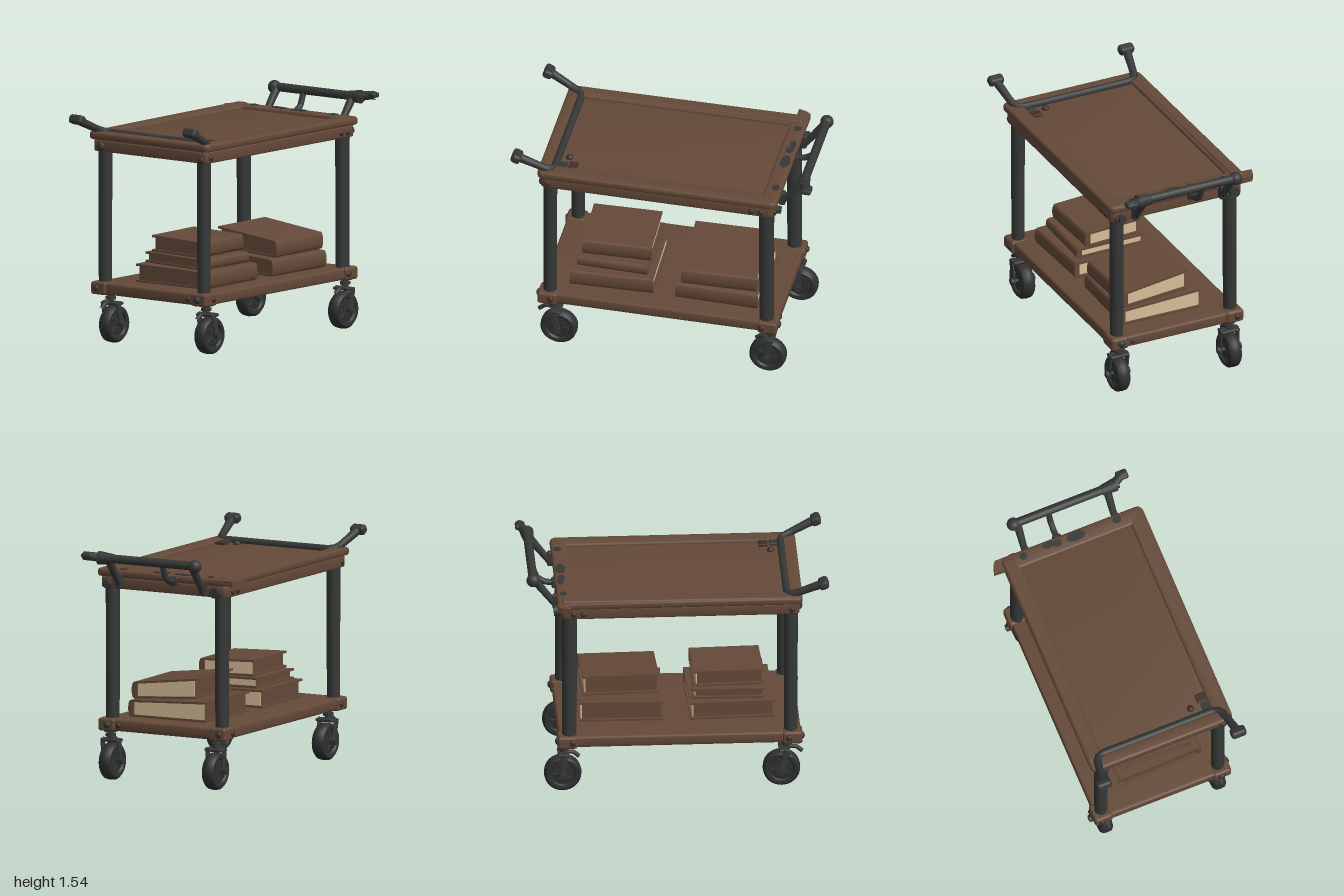
import * as THREE from 'three';
import { RoundedBoxGeometry } from 'three/addons/geometries/RoundedBoxGeometry.js';
import { toCreasedNormals } from 'three/addons/utils/BufferGeometryUtils.js';

const mat = (name, color) => Object.assign(new THREE.MeshStandardMaterial({ color }), { name });
const V = (x, y, z) => new THREE.Vector3(x, y, z);

export function createModel() {
  const wood = mat('brown wood', 0x644938);
  const metal = mat('charcoal metal', 0x363737);
  const rubber = mat('dark rubber', 0x2e2f30);
  const paper = mat('cream paper', 0xd8c09a);
  const bolt = mat('dark bolt', 0x3f3028);
  const root = new THREE.Group();

  const add = (parent, name, geo, material, x = 0, y = 0, z = 0) => {
    const m = new THREE.Mesh(geo, material);
    m.name = name;
    m.position.set(x, y, z);
    parent.add(m);
    return m;
  };
  const group = (name, parent = root) => {
    const g = new THREE.Group();
    g.name = name;
    parent.add(g);
    return g;
  };
  const block = (parent, name, w, h, d, x, y, z, material = metal, r = 0.01) =>
    add(parent, name, new RoundedBoxGeometry(w, h, d, 2, r), material, x, y, z);
  const tube = (parent, name, pts, r, material = metal) =>
    add(parent, name, new THREE.TubeGeometry(new THREE.CatmullRomCurve3(pts, false, 'catmullrom', 0.2), 28, r, 10), material);
  // straight rod between two points
  const rod = (parent, name, a, b, r0, r1 = r0, material = metal) => {
    const m = add(parent, name, new THREE.CylinderGeometry(r1, r0, a.distanceTo(b), 16), material);
    m.position.copy(a).lerp(b, 0.5);
    m.quaternion.setFromUnitVectors(V(0, 1, 0), b.clone().sub(a).normalize());
    return m;
  };
  // rounded rectangle in plan
  const plan = (x0, x1, z0, z1, r, Type = THREE.Shape) => {
    const s = new Type();
    s.moveTo(x0 + r, -z1);
    s.lineTo(x1 - r, -z1); s.quadraticCurveTo(x1, -z1, x1, -z1 + r);
    s.lineTo(x1, -z0 - r); s.quadraticCurveTo(x1, -z0, x1 - r, -z0);
    s.lineTo(x0 + r, -z0); s.quadraticCurveTo(x0, -z0, x0, -z0 - r);
    s.lineTo(x0, -z1 + r); s.quadraticCurveTo(x0, -z1, x0 + r, -z1);
    return s;
  };
  // horizontal board with softened edges
  const board = (parent, name, [x0, x1, z0, z1], y0, y1, r, b, hole) => {
    const s = plan(x0 + b, x1 - b, z0 + b, z1 - b, r);
    if (hole) s.holes.push(plan(...hole, 0.01, THREE.Path));
    const g = new THREE.ExtrudeGeometry(s, { depth: y1 - y0 - 2 * b, bevelSize: b, bevelThickness: b, bevelSegments: 3, curveSegments: 5 });
    g.rotateX(-Math.PI / 2);
    return add(parent, name, toCreasedNormals(g, 0.6), wood, 0, y0 + b, 0);
  };

  // Top tray: apron, panel, raised rim and corner spur
  const tray = group('topTray');
  board(tray, 'trayApron', [-0.81, 0.745, -0.455, 0.495], 1.27, 1.345, 0.03, 0.008);
  board(tray, 'trayPanel', [-0.79, 0.73, -0.44, 0.48], 1.33, 1.376, 0.02, 0.004);
  board(tray, 'trayRim', [-0.83, 0.77, -0.48, 0.515], 1.347, 1.398, 0.03, 0.016, [-0.755, 0.675, -0.39, 0.42]);
  block(tray, 'backRail', 1.5, 0.03, 0.08, -0.01, 1.39, -0.433, wood, 0.012).rotation.z = 0.006;
  const spur = new THREE.Shape([[0.68, 0.42], [0.768, 0.42], [0.768, 0.515], [0.74, 0.535], [0.685, 0.552]].map(p => new THREE.Vector2(...p)));
  add(tray, 'cornerSpur', new THREE.ExtrudeGeometry(spur, { depth: 0.04, bevelEnabled: false }).rotateX(-Math.PI / 2), wood, 0, 1.351, 0);
  for (const [x, z, sx, sz] of [[0.725, 0.04, 0.032, 0.065], [0.735, -0.15, 0.022, 0.04], [0.725, -0.33, 0.025, 0.025], [0.73, 0.33, 0.025, 0.03], [0.725, -0.09, 0.025, 0.03]])
    add(tray, 'wornPatch', new THREE.CylinderGeometry(1, 1, 0.006, 14).scale(sx, 1, sz), metal, x, 1.399, z);
  block(tray, 'cornerCatch', 0.06, 0.02, 0.07, -0.615, 1.384, 0.37, bolt, 0.006);
  block(tray, 'cornerCatch', 0.06, 0.02, 0.06, -0.685, 1.384, 0.38, metal, 0.006);
  add(tray, 'trayStud', new THREE.SphereGeometry(0.024, 12, 8), bolt, -0.66, 1.378, 0.28);

  // Lower shelf with heavier corners
  const shelf = group('lowerShelf');
  board(shelf, 'shelfBoard', [-0.82, 0.76, -0.44, 0.485], 0.332, 0.408, 0.03, 0.014);
  for (const x of [-0.765, 0.705]) for (const z of [-0.395, 0.44])
    block(shelf, 'shelfCorner', 0.13, 0.086, 0.125, x, 0.37, z, wood, 0.018);

  // Legs
  for (const x of [-0.755, 0.69]) for (const z of [-0.39, 0.432])
    add(root, 'leg', new THREE.CylinderGeometry(0.046, 0.043, 0.88, 20), metal, x, 0.84, z).scale.x = x > 0 ? 1.1 : 1;

  // Bolt heads on all four sides
  const bolts = group('bolts');
  const head = (x, y, z, r, alongX, dark = bolt) => {
    const g = new THREE.SphereGeometry(r, 12, 8).scale(1, 1, 0.7);
    if (alongX) g.rotateY(Math.PI / 2);
    add(bolts, 'boltHead', g, dark, x, y, z);
  };
  for (const x of [-0.76, 0.6, 0.665]) {
    head(x, 1.304, 0.494, 0.02);
    head(x, 1.304, -0.454, 0.02);
  }
  for (const x of [-0.74, 0.67]) {
    head(x, 0.37, 0.5, 0.022);
    head(x, 0.37, -0.456, 0.022);
  }
  for (const s of [-1, 1]) {
    const xs = s > 0 ? 0.77 : -0.83, xt = s > 0 ? 0.745 : -0.81;
    head(xs, 0.37, 0.432, 0.025, true, metal);
    head(xs - s * 0.008, 0.37, 0.35, 0.018, true);
    head(xs, 0.37, -0.41, 0.022, true);
    head(xt, 1.29, 0.45, 0.024, true);
    head(xt, 1.305, -0.385, 0.03, true, metal);
  }
  rod(bolts, 'sidePin', V(0.73, 1.305, -0.385), V(0.79, 1.305, -0.385), 0.034);
  rod(bolts, 'sidePin', V(0.73, 1.3, 0.43), V(0.785, 1.3, 0.43), 0.026);

  // Two-pronged handle on the right end
  const prongs = group('prongHandle');
  tube(prongs, 'prongBar', [V(-0.955, 1.487, -0.455), V(-0.8, 1.415, -0.425), V(-0.745, 1.395, -0.405), V(-0.73, 1.39, -0.36),
    V(-0.73, 1.388, 0), V(-0.73, 1.39, 0.4), V(-0.745, 1.395, 0.445), V(-0.8, 1.415, 0.465), V(-0.955, 1.487, 0.49)], 0.024);
  for (const [z0, z1] of [[-0.42, -0.457], [0.46, 0.49]]) {
    rod(prongs, 'prong', V(-0.76, 1.397, z0), V(-0.955, 1.487, z1), 0.023, 0.029);
    block(prongs, 'prongGrip', 0.065, 0.06, 0.105, -0.965, 1.492, z1, metal, 0.02).rotation.z = -0.4;
  }

  // Push bar on the left end
  const push = group('pushHandle');
  rod(push, 'pushBar', V(0.922, 1.497, -0.32), V(0.922, 1.497, 0.42), 0.029);
  add(push, 'barEnd', new THREE.SphereGeometry(0.044, 16, 12), metal, 0.922, 1.495, -0.32);
  rod(push, 'barCollar', V(0.92, 1.495, 0.3), V(0.925, 1.497, 0.4), 0.034, 0.045);
  tube(push, 'barHook', [V(0.915, 1.497, 0.35), V(0.935, 1.503, 0.4), V(0.962, 1.508, 0.45), V(0.968, 1.51, 0.49)], 0.029);
  block(push, 'hookTip', 0.065, 0.035, 0.08, 0.965, 1.512, 0.46, metal, 0.014);
  for (const z of [-0.295, 0.335]) {
    rod(push, 'post', V(0.775, 1.305, z), V(0.915, 1.49, z), 0.021, 0.028);
    block(push, 'postFoot', 0.045, 0.1, 0.042, 0.772, 1.33, z);
  }
  tube(push, 'middleBrace', [V(0.77, 1.36, -0.075), V(0.83, 1.365, -0.075), V(0.885, 1.4, -0.075), V(0.918, 1.485, -0.075)], 0.02);
  block(push, 'braceFoot', 0.035, 0.06, 0.06, 0.772, 1.358, -0.075);

  // Casters
  const tyre = new THREE.LatheGeometry([[0, -0.03], [0.02, -0.034], [0.075, -0.026], [0.084, -0.04], [0.106, -0.042], [0.12, -0.028],
    [0.123, 0], [0.12, 0.028], [0.106, 0.042], [0.084, 0.04], [0.075, 0.026], [0.02, 0.034], [0, 0.03]].map(p => new THREE.Vector2(...p)), 32)
    .rotateX(Math.PI / 2);
  const caster = (stemX, wheelX, z) => {
    const c = group('caster');
    c.position.z = z;
    add(c, 'wheel', toCreasedNormals(tyre, 0.7), rubber, wheelX, 0.124, 0);
    rod(c, 'swivelStem', V(stemX, 0.25, 0), V(stemX, 0.34, 0), 0.022);
    rod(c, 'swivelCap', V(stemX, 0.29, 0), V(stemX, 0.31, 0), 0.034);
    rod(c, 'mountPlate', V(stemX, 0.322, 0), V(stemX, 0.335, 0), 0.045);
    block(c, 'forkCrown', 0.075, 0.022, 0.135, (stemX + wheelX) / 2, 0.264, 0);
    rod(c, 'axle', V(wheelX, 0.13, -0.088), V(wheelX, 0.13, 0.088), 0.014);
    for (const s of [-1, 1]) {
      const arm = block(c, 'forkArm', 0.045, 0.165, 0.014, (stemX + wheelX) / 2, 0.195, s * 0.062, metal, 0.006);
      arm.rotation.z = Math.atan2(wheelX - stemX, 0.14);
      rod(c, 'axleNut', V(wheelX, 0.13, s * 0.066), V(wheelX, 0.13, s * 0.084), 0.024);
      // spokes on the hub
      for (let i = 0; i < 5; i++) {
        const a = i * Math.PI * 0.4;
        block(c, 'spoke', 0.06, 0.014, 0.012, wheelX + Math.cos(a) * 0.045, 0.124 + Math.sin(a) * 0.045, s * 0.028, rubber, 0.004).rotation.z = a;
      }
    }
    tube(c, 'brakeTab', [V(stemX, 0.272, 0), V(stemX - 0.06, 0.268, 0), V(stemX - 0.1, 0.238, 0)], 0.014);
  };
  caster(-0.73, -0.695, 0.43);
  caster(-0.73, -0.695, -0.365);
  caster(0.72, 0.7, 0.43);
  caster(0.725, 0.732, -0.365);

  // Books: two covers, rounded spine at the front, pages showing at the left end.
  // zf/zb are the front and back edges; [bottom, top] heights are given at each.
  const slice = (pts, x0, x1) => new THREE.ExtrudeGeometry(pts, { depth: x1 - x0, bevelEnabled: false }).rotateY(Math.PI / 2).translate(x0, 0, 0);
  const quad = (zf, zb, f0, f1, b0, b1) => new THREE.Shape([[-zf, f0], [-zb, b0], [-zb, b1], [-zf, f1]].map(p => new THREE.Vector2(...p)));
  const book = (x0, x1, zf, zb, [f0, f1], [b0, b1], yaw = 0) => {
    const pivot = group('book'), g = group('bookBody', pivot), t = 0.014;
    const cx = (x0 + x1) / 2, cz = (zf + zb) / 2;
    pivot.position.set(cx, 0, cz);
    pivot.rotation.y = yaw;
    g.position.set(-cx, 0, -cz);
    add(g, 'lowerCover', slice(quad(zf - 0.02, zb, f0, f0 + t, b0, b0 + t), x0, x1), wood);
    add(g, 'upperCover', slice(quad(zf - 0.02, zb, f1 - t, f1, b1 - t, b1), x0, x1), wood);
    const spine = new THREE.Shape();
    spine.moveTo(-zf + 0.04, f0);
    spine.lineTo(-zf + 0.04, f1);
    spine.lineTo(-zf + 0.02, f1);
    spine.bezierCurveTo(-zf - 0.005, f1 - 0.005, -zf - 0.005, f0 + 0.005, -zf + 0.02, f0);
    add(g, 'spine', toCreasedNormals(slice(spine, x0, x1), 0.7), wood);
    const core = [zf - 0.03, zb + 0.02, f0 + t, f1 - t, b0 + t, b1 - t];
    add(g, 'bookCore', slice(quad(...core), x0 + 0.012, x1 - 0.022), wood);
    add(g, 'pageEdges', slice(quad(...core), x1 - 0.022, x1 - 0.014), paper);
  };
  book(-0.65, -0.1, 0.36, -0.22, [0.41, 0.52], [0.41, 0.53], 0.03);
  book(-0.6, -0.13, 0.31, -0.18, [0.525, 0.595], [0.535, 0.605], -0.02);
  book(-0.585, -0.13, 0.265, -0.14, [0.6, 0.705], [0.61, 0.718], 0.03);
  book(0.065, 0.615, 0.36, -0.23, [0.41, 0.52], [0.415, 0.55], -0.02);
  book(0.095, 0.595, 0.35, -0.13, [0.53, 0.64], [0.56, 0.695], 0.02);

  return root;
}
